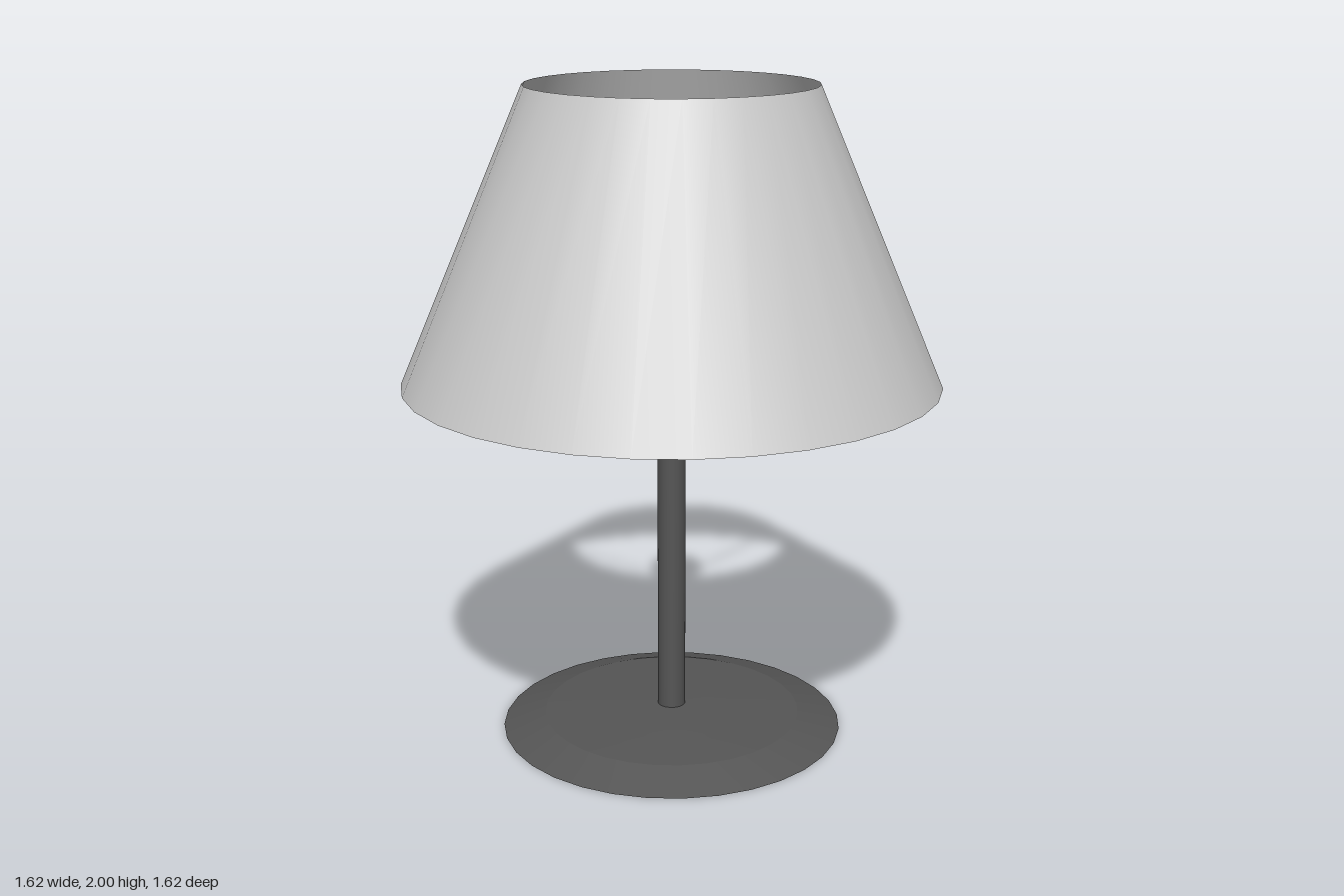
import * as THREE from 'three';
import { toCreasedNormals } from 'three/addons/utils/BufferGeometryUtils.js';

const SIDES = 32;

export function createModel() {
  const lamp = new THREE.Group();
  lamp.name = 'tableLamp';
  const metal = new THREE.MeshStandardMaterial({ color: 0x555555 });
  const glass = new THREE.MeshStandardMaterial({ color: 0xcccccc });
  const fabric = new THREE.MeshStandardMaterial({ color: 0xcccccc, side: THREE.DoubleSide });

  const add = (name, geometry, material, parent = lamp) => {
    const mesh = new THREE.Mesh(geometry, material);
    mesh.name = name;
    parent.add(mesh);
    return mesh;
  };
  const lathe = (points) =>
    new THREE.LatheGeometry(points.map(([r, y]) => new THREE.Vector2(r, y)), SIDES);

  // Flat, bevelled foot
  add('base', toCreasedNormals(lathe([[0, 0], [0.53, 0], [0.4, 0.04], [0.04, 0.06], [0, 0.06]]), 0.15), metal);

  // Upright post
  add('pole', new THREE.CylinderGeometry(0.043, 0.043, 1.43, SIDES), metal).position.y = 0.765;

  // Bulb: narrow neck flowing into a round globe
  const bulbProfile = [[0.043, 1.47], [0.046, 1.5], [0.06, 1.535], [0.083, 1.565]];
  for (let i = 0; i <= 12; i++) {
    const a = THREE.MathUtils.lerp(-0.3, Math.PI / 2, i / 12);
    bulbProfile.push([Math.max(0, 0.1 * Math.cos(a)), 1.62 + 0.1 * Math.sin(a)]);
  }
  add('bulb', lathe(bulbProfile), glass);

  // Open conical shade
  add('shade', new THREE.CylinderGeometry(0.432, 0.81, 0.883, SIDES, 1, true), fabric).position.y = 1.5585;

  // Wire ring and four spokes holding the shade
  const frame = new THREE.Group();
  frame.name = 'shadeFrame';
  lamp.add(frame);
  const ring = add('frameRing', new THREE.TorusGeometry(0.636, 0.009, 8, SIDES), metal, frame);
  ring.rotation.x = Math.PI / 2;
  ring.position.y = 1.5;
  for (let i = 0; i < 4; i++) {
    const a = THREE.MathUtils.degToRad(41 + 90 * i);
    const at = (r, y) => new THREE.Vector3(r * Math.cos(a), y, r * Math.sin(a));
    const path = new THREE.LineCurve3(at(0.03, 1.46), at(0.636, 1.5));
    add('frameSpoke', new THREE.TubeGeometry(path, 1, 0.005, 6), metal, frame);
  }
  return lamp;
}
